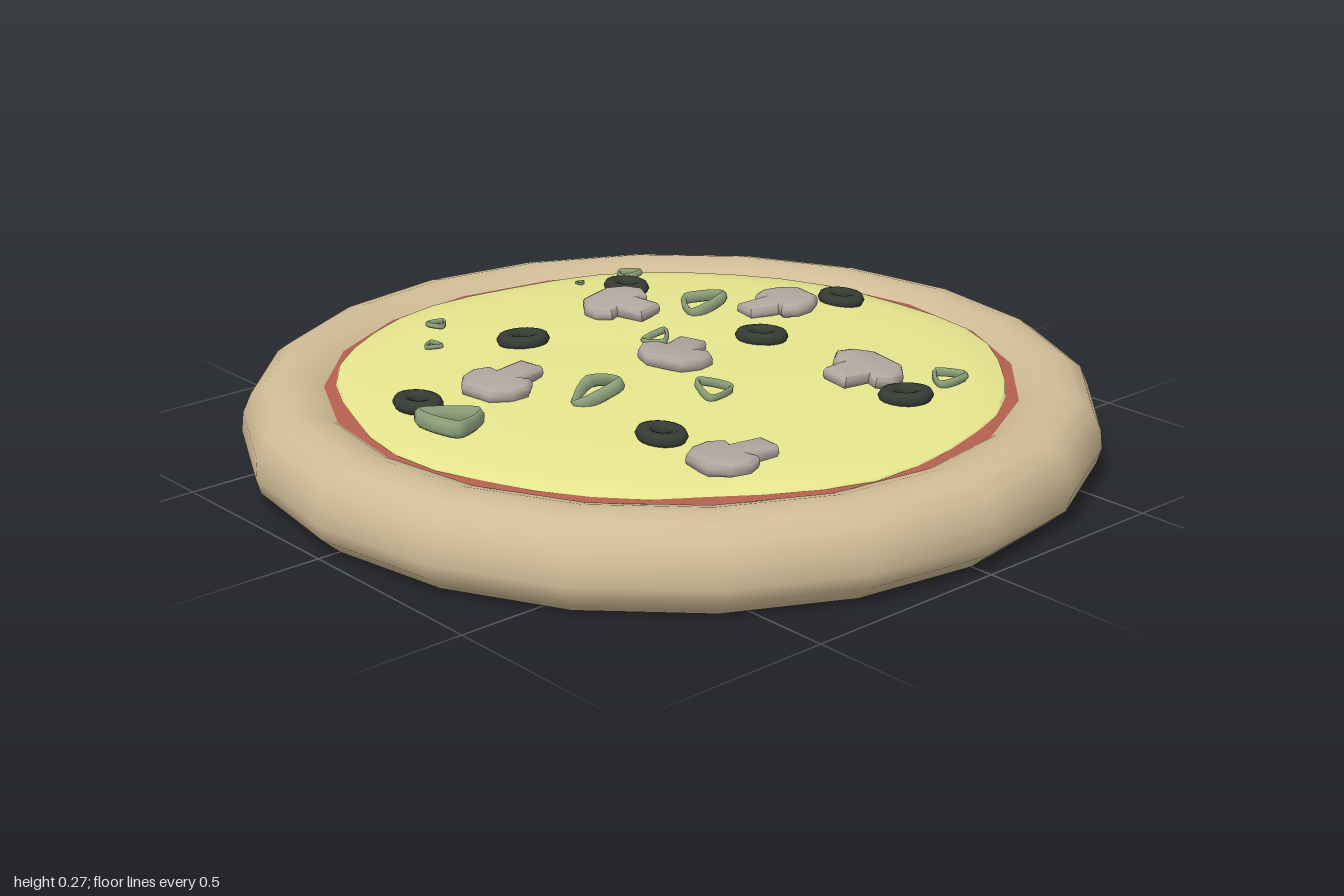
import * as THREE from 'three';
import { toCreasedNormals } from 'three/addons/utils/BufferGeometryUtils.js';

const SIDES = 20;
const V2 = (x, y) => new THREE.Vector2(x, y);
const paint = (color) => new THREE.MeshStandardMaterial({ color });

// Height of the cheese surface at a distance from the centre
const cheeseHeight = (r) => 0.216 - 0.03 * Math.pow(r / 0.78, 4);

function addMesh(parent, name, geometry, material) {
  const mesh = new THREE.Mesh(geometry, material);
  mesh.name = name;
  parent.add(mesh);
  return mesh;
}

// Puts a topping on the cheese
function place(mesh, x, z, lift, turn = 0, tiltX = 0, tiltZ = 0) {
  mesh.position.set(x, cheeseHeight(Math.hypot(x, z)) + lift, z);
  mesh.rotation.set(tiltX, turn, tiltZ, 'XYZ');
}

// Sliced mushroom outline: wide cap with a short stem towards -y
function mushroomGeometry() {
  const half = [[0.026, -0.095], [0.032, -0.02], [0.062, -0.026], [0.08, 0.0], [0.072, 0.038], [0.04, 0.07]];
  const outline = [
    ...half.map(([x, y]) => V2(x, y)),
    ...half.slice().reverse().map(([x, y]) => V2(-x, y)),
  ];
  const geometry = new THREE.ExtrudeGeometry(new THREE.Shape(outline), {
    depth: 0.012, bevelEnabled: true, bevelThickness: 0.011, bevelSize: 0.012, bevelOffset: -0.003, bevelSegments: 2,
  });
  geometry.rotateX(-Math.PI / 2);
  return toCreasedNormals(geometry, 0.9);
}

// Pepper ring: a wavy three-cornered loop with a tall thin wall
function pepperGeometry() {
  const points = [];
  for (let i = 0; i < 9; i++) {
    const a = (i / 9) * Math.PI * 2;
    const r = i % 3 === 0 ? 1 : 0.7;
    points.push(new THREE.Vector3(r * Math.sin(a), 0, r * Math.cos(a)));
  }
  const curve = new THREE.CatmullRomCurve3(points, true);
  const geometry = new THREE.TubeGeometry(curve, 24, 0.13, 6, true);
  return geometry.scale(1, 2, 1);
}

export function createModel() {
  const pizza = new THREE.Group();
  pizza.name = 'pizza';

  // Crust: flat base and rounded rim
  const dough = paint(0xd0bc96);
  const rim = [
    [0.945, 0], [0.962, 0.015], [0.99, 0.04], [1, 0.075], [0.995, 0.12], [0.975, 0.165],
    [0.94, 0.19], [0.9, 0.2], [0.86, 0.197], [0.82, 0.185], [0.79, 0.165],
  ].map(([x, y]) => V2(x, y));
  addMesh(pizza, 'crust', new THREE.LatheGeometry(rim, SIDES), dough);
  const base = new THREE.CircleGeometry(0.945, SIDES).rotateX(Math.PI / 2);
  addMesh(pizza, 'crustBase', base, dough);

  // Sauce under the cheese
  const sauceProfile = [V2(0.81, 0.176), V2(0.76, 0.184), V2(0, 0.19)];
  addMesh(pizza, 'sauce', new THREE.LatheGeometry(sauceProfile, SIDES), paint(0xb5604f));

  // Cheese: low dome with an uneven edge
  const cheeseProfile = [V2(0.782, 0.172)];
  for (const r of [0.777, 0.7, 0.55, 0.38, 0.2, 0]) cheeseProfile.push(V2(r, cheeseHeight(r)));
  const cheese = new THREE.LatheGeometry(cheeseProfile, SIDES * 2);
  const p = cheese.attributes.position;
  for (let i = 0; i < p.count; i++) {
    const x = p.getX(i), z = p.getZ(i), r = Math.hypot(x, z);
    const a = Math.atan2(x, z);
    const edge = r > 0.75 ? 1 : 0;
    const k = 1 + edge * (0.009 * Math.sin(5 * a + 0.6) + 0.007 * Math.cos(9 * a));
    const ripple = r < 0.72 ? 0.002 * Math.sin(9 * x) * Math.cos(8 * z) : 0;
    p.setXYZ(i, x * k, p.getY(i) + ripple, z * k);
  }
  cheese.computeVertexNormals();
  addMesh(pizza, 'cheese', cheese, paint(0xe6e68e));

  // Olive rings: x, z, turn
  const olives = new THREE.Group();
  olives.name = 'olives';
  const oliveShape = new THREE.TorusGeometry(0.039, 0.021, 8, 18).rotateX(Math.PI / 2).scale(1.08, 0.8, 0.88);
  const oliveColor = paint(0x363b34);
  [
    [-0.08, -0.64, 0], [-0.5, -0.29, 0], [0.03, -0.26, 0.6], [0.53, -0.23, 1.1],
    [-0.33, 0.18, 1.2], [0.36, 0.35, 0], [-0.165, 0.61, 0],
  ].forEach(([x, z, turn]) => place(addMesh(olives, 'olive', oliveShape, oliveColor), x, z, 0.009, turn));
  pizza.add(olives);

  // Mushroom slices: cap x, cap z, stem direction x, z, lift, tilts
  const mushrooms = new THREE.Group();
  mushrooms.name = 'mushrooms';
  const mushroomShape = mushroomGeometry();
  const mushroomColor = paint(0xb3a6a0);
  [
    [-0.105, -0.455, -0.25, 1, 0.012, 0.08, 0.06],
    [-0.36, -0.145, 1, -0.15, 0.012, 0, 0.1],
    [0.015, 0.0, -0.5, -1, 0.008, -0.06, 0.04],
    [0.395, -0.235, 0.05, 1, 0.02, -0.05, -0.14],
    [0.55, 0.33, 0.2, -1, 0.008, 0.04, -0.08],
    [-0.11, 0.42, -0.12, -1, 0.008, 0.08, 0],
  ].forEach(([x, z, dx, dz, lift, tx, tz]) => {
    const slice = addMesh(mushrooms, 'mushroom', mushroomShape, mushroomColor);
    place(slice, x, z, lift, Math.atan2(dx, dz), tx, tz);
  });
  pizza.add(mushrooms);

  // Green pepper rings: x, z, size, turn, tilts
  const peppers = new THREE.Group();
  peppers.name = 'peppers';
  const pepperShape = pepperGeometry();
  const pepperColor = paint(0x8fa47c);
  [
    [-0.61, -0.39, 0.034, 0.5, 0, 0.1], [-0.635, -0.25, 0.013, 1.2, 0, 0],
    [-0.24, -0.31, 0.06, 0.5, 0.2, 0.1], [0.51, -0.39, 0.043, 0.4, 0.1, 0],
    [-0.12, -0.06, 0.036, 1.3, 0, 0.3], [0.24, 0.09, 0.045, 0.7, 0.2, -0.3],
    [0.08, 0.3, 0.064, 0.1, 0.35, 0.2], [-0.59, 0.24, 0.026, 1.4, 0, 0],
    [-0.46, 0.35, 0.023, 0.1, 0, 0], [0, 0.64, 0.078, 1.1, -0.2, 0.1],
  ].forEach(([x, z, size, turn, tx, tz]) => {
    const ring = addMesh(peppers, 'pepper', pepperShape, pepperColor);
    place(ring, x, z, size * 0.26, turn, tx, tz);
    ring.scale.setScalar(size);
  });
  pizza.add(peppers);

  return pizza;
}
